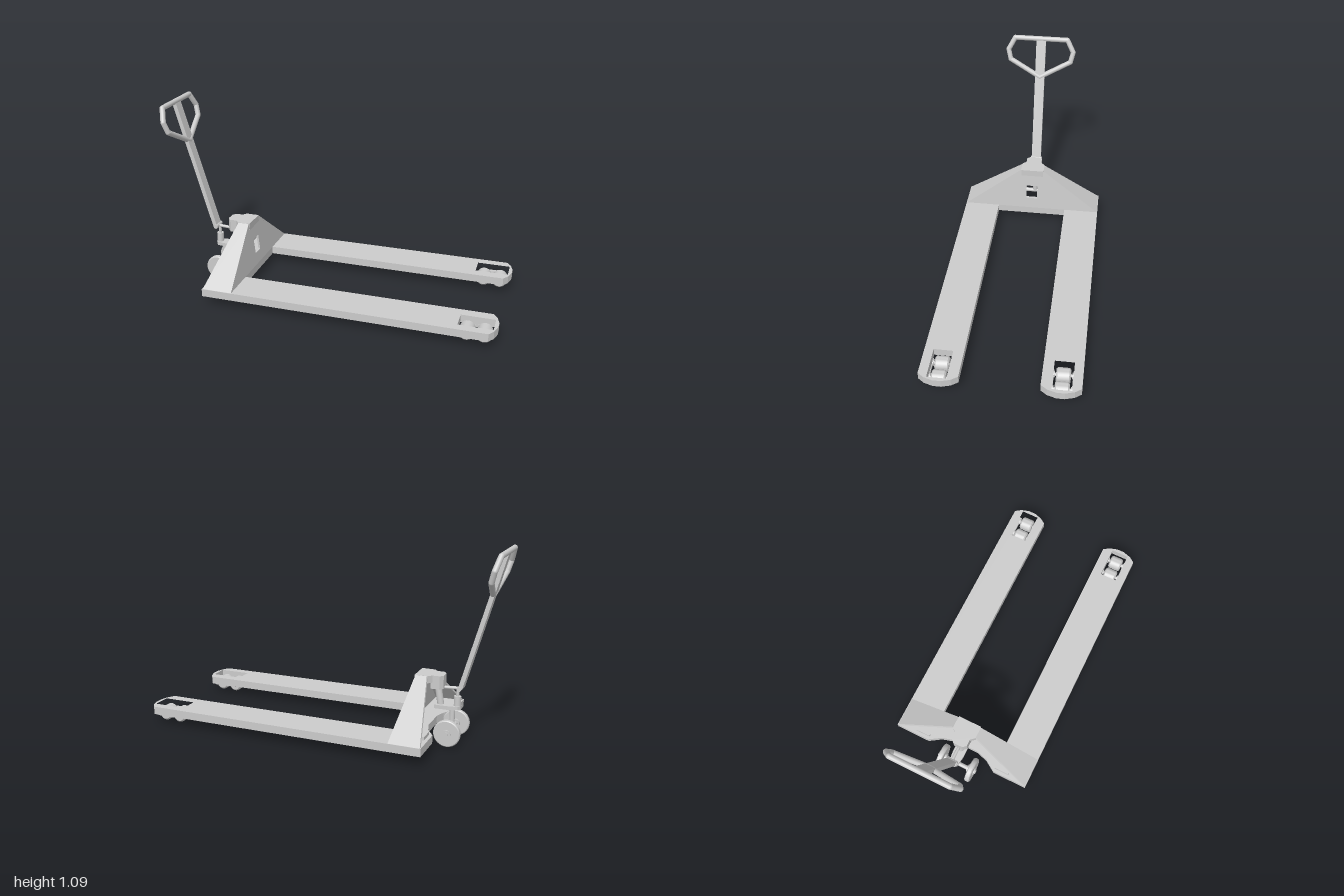
import * as THREE from 'three';
import { ConvexGeometry } from 'three/addons/geometries/ConvexGeometry.js';
import { toCreasedNormals } from 'three/addons/utils/BufferGeometryUtils.js';

const V = (x, y, z) => new THREE.Vector3(x, y, z);
const mat = new THREE.MeshStandardMaterial({ color: 0xcccccc });

export function createModel() {
  const model = new THREE.Group();

  const add = (name, geo, parent = model) => {
    const m = new THREE.Mesh(geo, mat);
    m.name = name;
    parent.add(m);
    return m;
  };
  const box = (name, x, y, z, w, h, d) => {
    const m = add(name, new THREE.BoxGeometry(w, h, d));
    m.position.set(x, y, z);
    return m;
  };
  // Round rod between two points
  const rod = (name, a, b, r, r2 = r, seg = 16) => {
    const d = b.clone().sub(a);
    const m = add(name, new THREE.CylinderGeometry(r2, r, d.length(), seg));
    m.position.copy(a).addScaledVector(d, 0.5);
    m.quaternion.setFromUnitVectors(V(0, 1, 0), d.normalize());
    return m;
  };
  const outline = (pts) => pts.map(([a, b]) => new THREE.Vector2(a, b));
  // Horizontal slab from an x,z outline, between two heights
  const slab = (name, pts, y0, y1, hole) => {
    const shape = new THREE.Shape(outline(pts));
    if (hole) shape.holes.push(new THREE.Path(outline(hole)));
    const g = new THREE.ExtrudeGeometry(shape, { depth: y1 - y0, bevelEnabled: false });
    return add(name, g.rotateX(Math.PI / 2).translate(0, y1, 0));
  };
  // Mirror an outline about z = 0
  const mirrored = (half) => [...half, ...half.map(([x, z]) => [x, -z]).reverse()];
  // Crowned wheel turning about z
  const wheel = (name, x, y, z, r, w, c) => {
    const h = w / 2;
    const profile = [[0, -h], [r - c, -h], [r, -h + c], [r, h - c], [r - c, h], [0, h]];
    const g = new THREE.LatheGeometry(outline(profile), 32).rotateX(Math.PI / 2);
    add(name, toCreasedNormals(g, 0.6)).position.set(x, y, z);
  };

  // Forks with wheel wells, load rollers and their carriers
  for (const s of [1, -1]) {
    const fork = [[-0.49, 0.215], [0.96, 0.215], [0.985, 0.25], [1, 0.3], [1, 0.345],
      [0.985, 0.395], [0.96, 0.43], [-0.49, 0.43]].map(([x, z]) => [x, z * s]);
    const well = [[0.79, 0.273], [0.98, 0.273], [0.98, 0.38], [0.79, 0.38]].map(([x, z]) => [x, z * s]);
    slab('fork', fork, 0.055, 0.1, well);
    for (const x of [0.835, 0.93]) {
      wheel('loadRoller', x, 0.042, 0.325 * s, 0.042, 0.078, 0.008);
      rod('rollerAxle', V(x, 0.044, 0.262 * s), V(x, 0.044, 0.388 * s), 0.009);
      for (const dz of [-0.05, 0.05]) {
        rod('rollerHub', V(x, 0.044, (0.325 + dz) * s - 0.004), V(x, 0.044, (0.325 + dz) * s + 0.004), 0.018);
      }
    }
    for (const z of [0.262, 0.388]) box('rollerCarrier', 0.883, 0.047, z * s, 0.14, 0.016, 0.024);
  }

  // Chassis base with rear notch for the steering wheels
  slab('chassisBase', mirrored([[-0.49, 0.43], [-0.67, 0.43], [-0.67, 0.22], [-0.625, 0.15], [-0.605, 0.08]]), 0.055, 0.1);

  // Leaning front plate with a window
  const plate = new THREE.Shape(outline([[-0.425, 0.1], [0.425, 0.1], [0.07, 0.375], [-0.07, 0.375]]));
  plate.holes.push(new THREE.Path(outline([[-0.035, 0.17], [0.035, 0.17], [0.035, 0.262], [-0.035, 0.262]])));
  const plateGeo = new THREE.ExtrudeGeometry(plate, { depth: 0.012, bevelEnabled: false }).rotateY(-Math.PI / 2);
  const p = plateGeo.attributes.position;
  for (let i = 0; i < p.count; i++) p.setX(i, p.getX(i) - 0.49 - 0.11 * (p.getY(i) - 0.1));
  plateGeo.computeVertexNormals();
  add('frontPlate', plateGeo);

  // Sloping side plates of the tower
  for (const s of [1, -1]) {
    const face = [[-0.665, 0.1, 0.427], [-0.49, 0.1, 0.427], [-0.52, 0.375, 0.072], [-0.585, 0.375, 0.072]];
    const pts = face.flatMap(([x, y, z]) => [V(x, y, z * s), V(x, y, (z - 0.02) * s)]);
    add('sidePlate', new ConvexGeometry(pts));
    box('rearLip', -0.645, 0.108, 0.265 * s, 0.012, 0.02, 0.09);
  }

  // Cap on top of the tower and pump head
  slab('towerCap', mirrored([[-0.515, 0.07], [-0.59, 0.07], [-0.61, 0.048]]), 0.335, 0.376);
  slab('pumpHead', mirrored([[-0.6, 0.048], [-0.65, 0.048], [-0.668, 0.028]]), 0.3, 0.376);

  // Hydraulic pump
  rod('pumpCylinder', V(-0.65, 0.19, 0), V(-0.63, 0.31, 0), 0.019);
  slab('pumpFoot', mirrored([[-0.62, 0.035], [-0.69, 0.035], [-0.75, 0.026], [-0.762, 0.012]]), 0.186, 0.207);
  rod('pumpBody', V(-0.742, 0.2, 0), V(-0.742, 0.262, 0), 0.02);
  rod('pumpPiston', V(-0.742, 0.26, 0), V(-0.742, 0.305, 0), 0.009);
  rod('pumpLever', V(-0.75, 0.308, 0), V(-0.65, 0.302, 0), 0.009);
  rod('handlePivot', V(-0.755, 0.31, -0.036), V(-0.755, 0.31, 0.036), 0.013);

  // Steering wheels on a short axle
  rod('steeringColumn', V(-0.715, 0.07, 0), V(-0.715, 0.19, 0), 0.015);
  rod('steeringAxle', V(-0.715, 0.075, -0.125), V(-0.715, 0.075, 0.125), 0.013);
  for (const s of [1, -1]) {
    wheel('steeringWheel', -0.715, 0.075, 0.098 * s, 0.075, 0.03, 0.005);
    rod('wheelHub', V(-0.715, 0.075, 0.07 * s), V(-0.715, 0.075, 0.12 * s), 0.024);
  }

  // Leaning handle: flat shaft and closed grip loop
  const onHandle = (y, z) => V(-0.76 - 0.2857 * (y - 0.31), y, z);
  const shaft = box('handleShaft', -0.868, 0.688, 0, 0.024, 0.78, 0.06);
  shaft.rotation.z = Math.atan(0.2857);
  const half = [[0.835, 0], [0.937, 0.19], [0.997, 0.205], [1.07, 0.165]];
  const loop = [...half, ...half.slice(1).reverse().map(([y, z]) => [y, -z])].map(([y, z]) => onHandle(y, z));
  loop.forEach((a, i) => {
    rod('gripLoop', a, loop[(i + 1) % loop.length], 0.0155);
    add('gripJoint', new THREE.SphereGeometry(0.0155, 16, 12)).position.copy(a);
  });

  return model;
}
